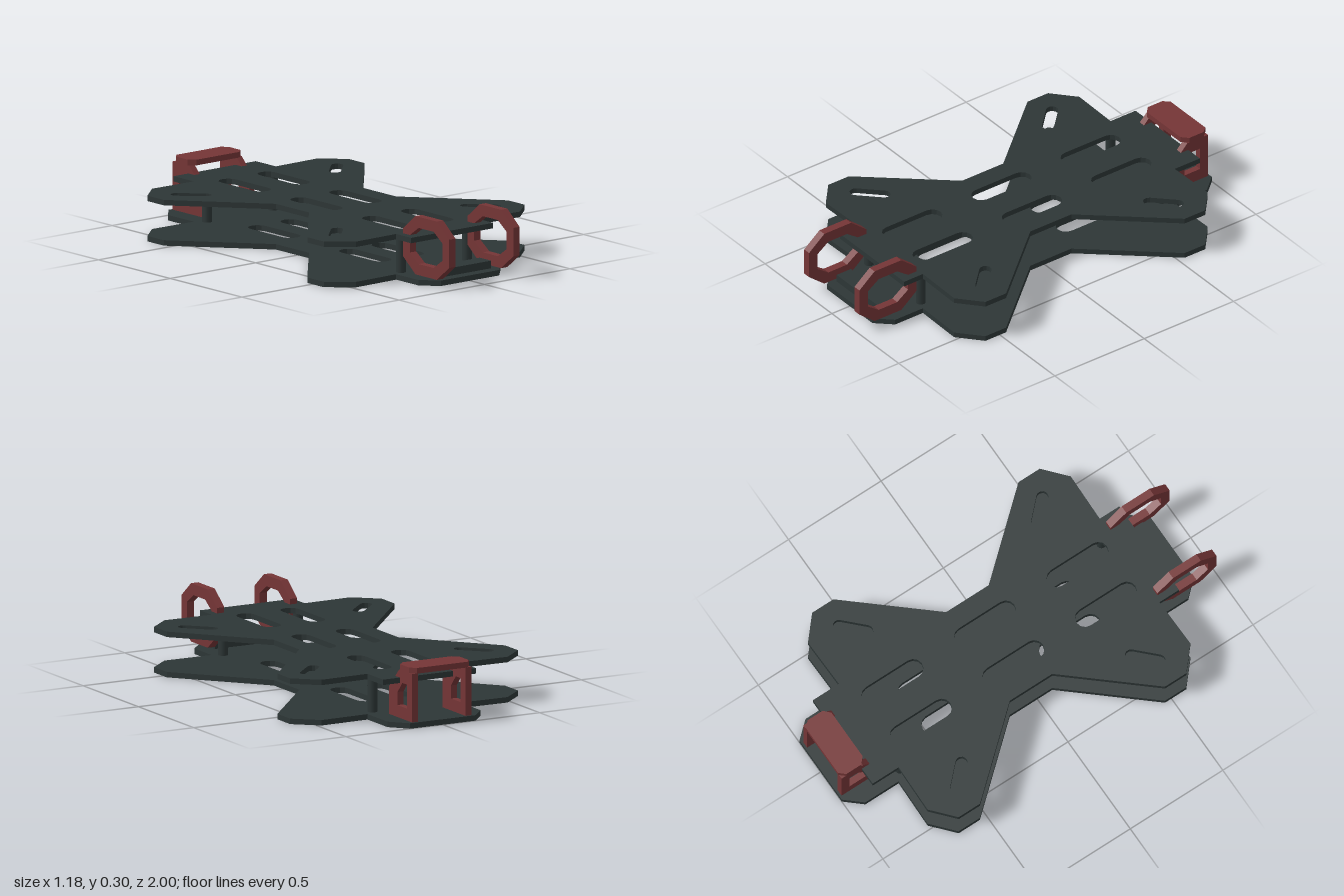
import * as THREE from 'three';

const carbon = new THREE.MeshStandardMaterial({ color: 0x2d3636 });
carbon.name = 'carbon grey';
const red = new THREE.MeshStandardMaterial({ color: 0x753536 });
red.name = 'dull red';

const MID = -0.035; // z about which the arms mirror

const path = (pts, Type = THREE.Shape) => new Type(pts.map(([a, b]) => new THREE.Vector2(a, b)));

// Round-ended slot in plan, at (x, z), turned by angle
function slot(x, z, length, width, angle = 0) {
  const r = width / 2, h = length / 2 - r, pts = [];
  for (let end = 0; end < 2; end++) {
    for (let i = 0; i <= 6; i++) {
      const a = end * Math.PI + (i / 6) * Math.PI;
      const u = r * Math.cos(a), v = r * Math.sin(a) + (end ? -h : h);
      pts.push([x + u * Math.cos(angle) - v * Math.sin(angle), -z + u * Math.sin(angle) + v * Math.cos(angle)]);
    }
  }
  return path(pts, THREE.Path);
}

// Flat plate from a plan outline given as half profile [x, z] from front to back
function plate(name, half, holes, y, height, material) {
  const outline = half.map(([x, z]) => [x, -z]);
  const shape = path([...outline, ...outline.map(([x, v]) => [-x, v]).reverse()]);
  shape.holes = holes;
  const geo = new THREE.ExtrudeGeometry(shape, { depth: height, bevelEnabled: false });
  geo.rotateX(-Math.PI / 2).translate(0, y, 0);
  const mesh = new THREE.Mesh(geo, material);
  mesh.name = name;
  return mesh;
}

// Upright plate with a window, from [z, y] profiles, centred on x
function sidePlate(name, outer, inner, x, width) {
  const shape = path(outer);
  shape.holes.push(path(inner, THREE.Path));
  const geo = new THREE.ExtrudeGeometry(shape, { depth: width, bevelEnabled: false });
  geo.rotateY(-Math.PI / 2).translate(x + width / 2, 0, 0);
  const mesh = new THREE.Mesh(geo, red);
  mesh.name = name;
  return mesh;
}

// Stretched octagon: half sizes and half lengths of its flats
const octagon = (z, y, hz, hy, fz, fy) => [
  [z + hz, y - fy], [z + hz, y + fy], [z + fz, y + hy], [z - fz, y + hy],
  [z - hz, y + fy], [z - hz, y - fy], [z - fz, y - hy], [z + fz, y - hy],
];

export function createModel() {
  const model = new THREE.Group();
  model.name = 'quadFrame';

  // X-shaped middle shared by both plates
  const arms = [
    [0.24, 0.67], [0.48, 0.675], [0.588, 0.58], [0.588, 0.465], [0.255, 0.08],
    [0.255, -0.15], [0.588, -0.535], [0.588, -0.65], [0.48, -0.745], [0.24, -0.74],
  ];

  const topHoles = [], bottomHoles = [];
  for (const sx of [-1, 1]) {
    for (const k of [-1, 0, 1]) topHoles.push(slot(sx * 0.114, MID + k * 0.5, 0.317, 0.09));
    for (const sz of [-1, 1]) {
      bottomHoles.push(slot(sx * 0.095, MID + sz * 0.317, 0.317, 0.09));
      topHoles.push(slot(sx * 0.424, MID + sz * 0.504, 0.185, 0.055, sx * sz * Math.PI / 4));
    }
  }

  model.add(plate('bottomPlate',
    [[0.17, 0.9], [0.24, 0.825], ...arms, [0.24, -0.92], [0.17, -1]],
    bottomHoles, 0, 0.025, carbon));
  model.add(plate('topPlate',
    [[0.24, 0.775], ...arms, [0.24, -0.88]],
    topHoles, 0.185, 0.025, carbon));

  // Standoffs between the plates
  for (const x of [-0.193, 0.193]) {
    for (const z of [0.647, -0.703]) {
      const post = new THREE.Mesh(new THREE.CylinderGeometry(0.0225, 0.0225, 0.16, 12), carbon);
      post.position.set(x, 0.105, z);
      post.name = 'standoff';
      model.add(post);
    }
  }

  // Low bar across the nose
  const bar = new THREE.Mesh(new THREE.BoxGeometry(0.33, 0.035, 0.08), carbon);
  bar.position.set(0, 0.0425, 0.81);
  bar.name = 'noseBar';
  model.add(bar);

  // Octagonal guard rings at the front
  for (const x of [-0.189, 0.187]) {
    model.add(sidePlate('guardRing',
      octagon(0.84, 0.17, 0.16, 0.134, 0.075, 0.065),
      octagon(0.84, 0.17, 0.113, 0.083, 0.052, 0.04), x, 0.037));
  }

  // Rear mount: two windowed cheeks under a cap
  const cheek = [[-0.99, 0.025], [-0.785, 0.025], [-0.785, 0.155], [-0.875, 0.247], [-0.99, 0.247]];
  const gap = [[-0.947, 0.08], [-0.86, 0.08], [-0.86, 0.14], [-0.903, 0.19], [-0.947, 0.19]];
  for (const x of [-0.138, 0.138]) model.add(sidePlate('mountCheek', cheek, gap, x, 0.031));
  model.add(plate('mountCap',
    [[0.125, -0.857], [0.155, -0.885], [0.155, -0.965], [0.13, -0.993]],
    [], 0.247, 0.026, red));

  return model;
}
